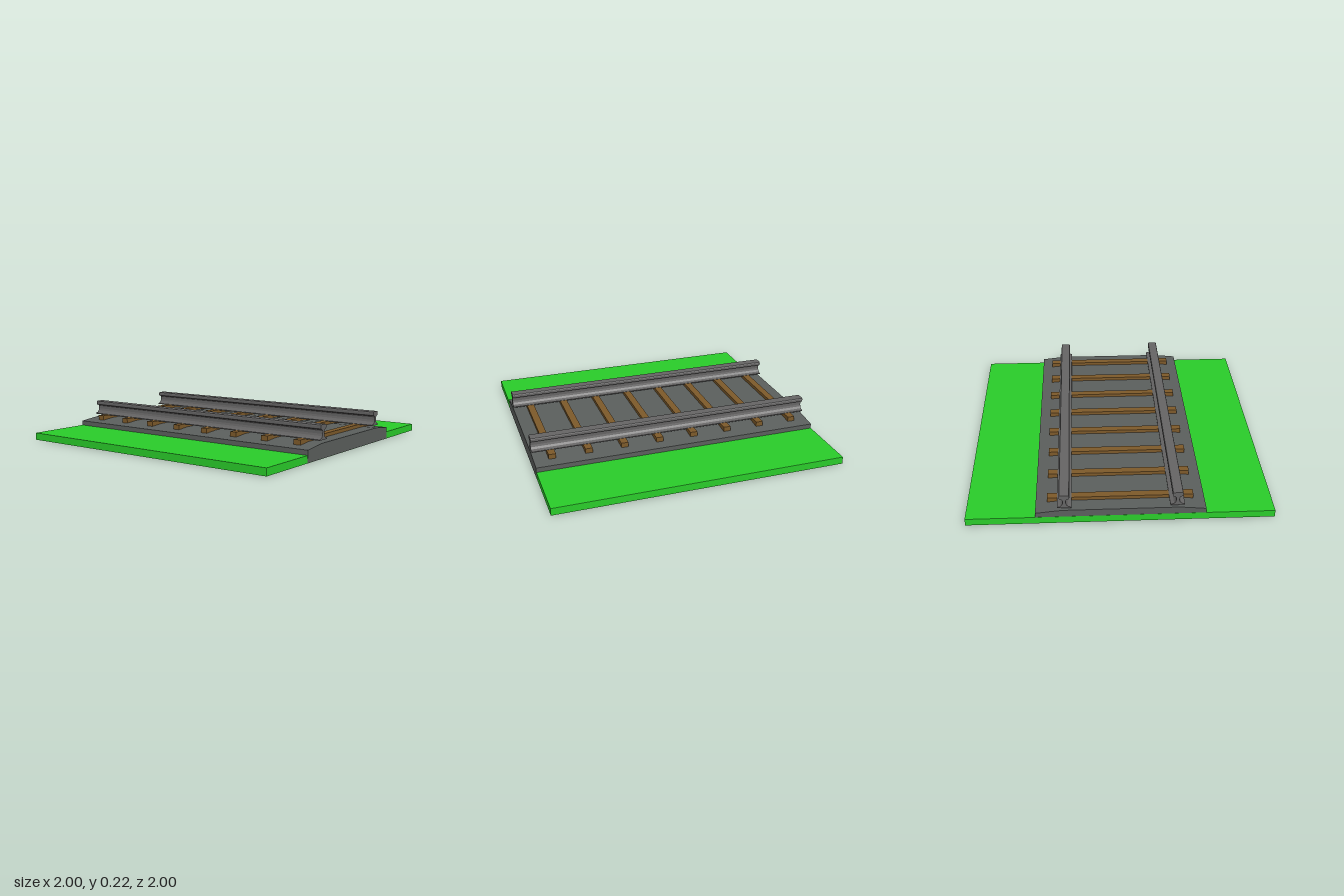
import * as THREE from 'three';

const LENGTH = 2;
const mat = (color) => new THREE.MeshStandardMaterial({ color });

function add(parent, name, geometry, material, x = 0, y = 0, z = 0) {
  const mesh = new THREE.Mesh(geometry, material);
  mesh.name = name;
  mesh.position.set(x, y, z);
  parent.add(mesh);
  return mesh;
}

// Mirrors a half profile [z, y] (bottom to top) and extrudes it along x
function extrudeAlongX(half, length) {
  const right = half.map(([z, y]) => new THREE.Vector2(z, y));
  const left = half.map(([z, y]) => new THREE.Vector2(-z, y)).reverse();
  const shape = new THREE.Shape([...right, ...left]);
  const geometry = new THREE.ExtrudeGeometry(shape, { depth: length, bevelEnabled: false });
  geometry.translate(0, 0, -length / 2);
  geometry.rotateY(Math.PI / 2);
  return geometry;
}

export function createModel() {
  const model = new THREE.Group();
  model.name = 'railwayTrack';
  const grass = mat(0x2acc2a);
  const gravel = mat(0x5b5f5d);
  const wood = mat(0x7d5a2a);
  const steel = mat(0x656464);

  // Ground slab, a hair short at the +x end so the ballast end shows there
  add(model, 'ground', new THREE.BoxGeometry(LENGTH - 0.001, 0.05, 2), grass, -0.0005, 0.025, 0);

  // Ballast bed with gently sloping shoulders
  const bed = [[0.55, 0.001], [0.55, 0.083], [0.46, 0.093], [0.375, 0.101]];
  add(model, 'ballast', extrudeAlongX(bed, LENGTH - 0.001), gravel, 0.0005, 0, 0);

  // Sleepers
  const sleeperGeometry = new THREE.BoxGeometry(0.05, 0.036, 0.95);
  for (let i = 0; i < 8; i++) {
    add(model, 'sleeper', sleeperGeometry, wood, -0.875 + i * 0.25, 0.107, 0);
  }

  // Rails: wide foot, thin web and rounded head
  const railProfile = [
    [0.047, 0.121], [0.047, 0.127], [0.024, 0.134], [0.014, 0.146], [0.01, 0.16],
    [0.01, 0.178], [0.016, 0.187], [0.03, 0.192], [0.034, 0.198], [0.034, 0.212],
    [0.031, 0.218], [0.025, 0.22],
  ];
  const railGeometry = extrudeAlongX(railProfile, LENGTH);
  for (const side of [1, -1]) {
    add(model, side > 0 ? 'frontRail' : 'backRail', railGeometry, steel, 0, 0, side * 0.362);
  }

  return model;
}
